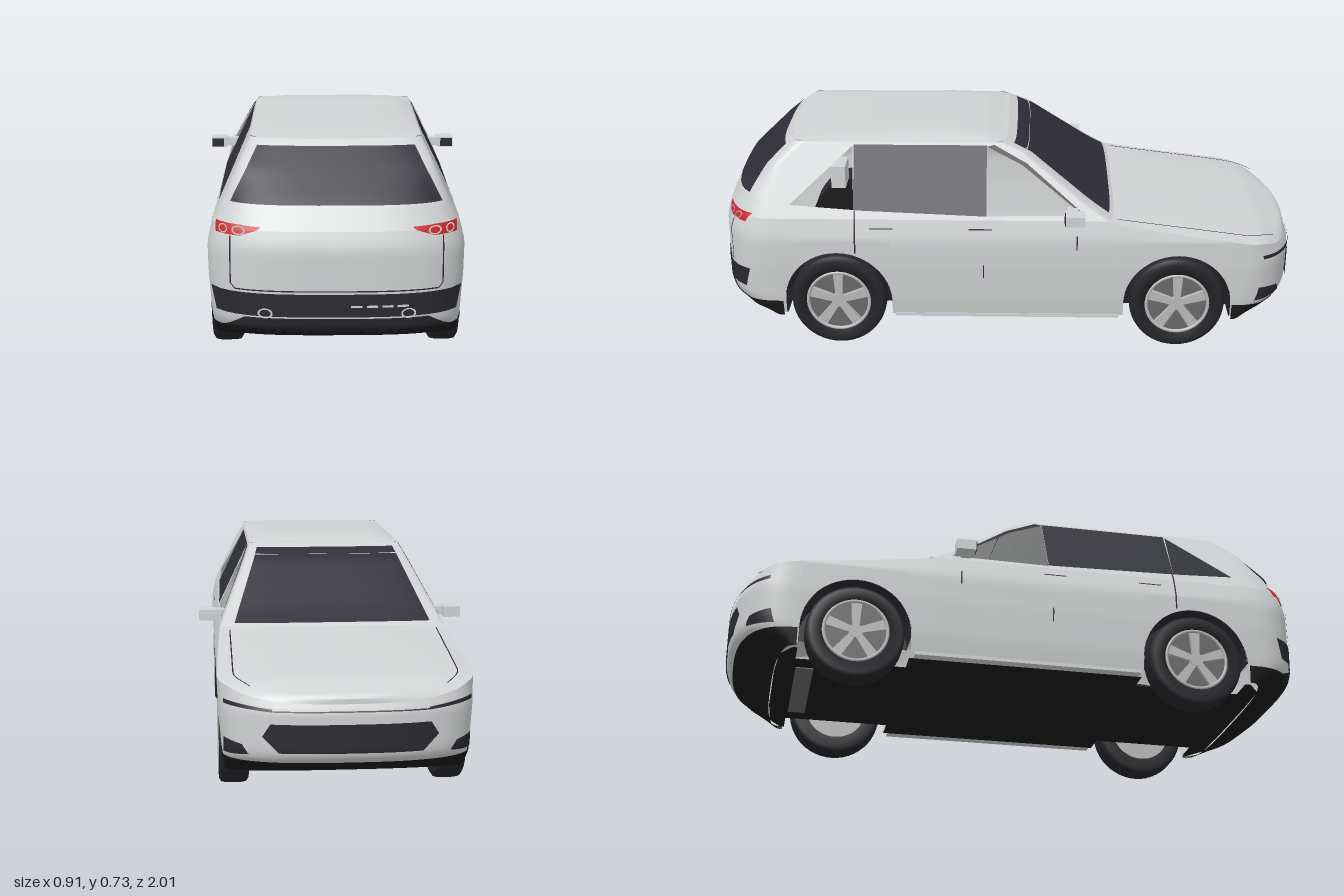
import * as THREE from 'three';

const mat = (name, color) => new THREE.MeshStandardMaterial({ name, color, side: THREE.DoubleSide });
const PI = Math.PI, BELT = 0.47, TOP = 0.71, CORE = 0.78;

// Piecewise linear lookup in a short table of [key, value]
function look(table, v) {
  if (v <= table[0][0]) return table[0][1];
  for (let i = 1; i < table.length; i++) {
    const [a, p] = table[i - 1], [b, q] = table[i];
    if (v <= b) return p + (q - p) * (v - a) / (b - a);
  }
  return table[table.length - 1][1];
}
const halfWidth = y => look([[0.1, 0.378], [0.17, 0.39], [0.3, 0.4], [0.4, 0.402], [BELT, 0.385], [TOP, 0.27]], y);
const tailZ = y => look([[0.1, 0.84], [0.13, 0.94], [0.17, 0.992], [0.2, 1], [0.42, 1], [BELT, 0.982], [0.545, 0.94], [0.64, 0.834], [TOP, 0.755]], y);
const noseZ = y => look([[0.1, -0.84], [0.14, -0.94], [0.17, -0.99], [0.2, -1], [0.32, -1], [0.375, -0.975], [0.47, -0.95]], y);
const screenZ = y => look([[BELT, -0.37], [0.52, -0.29], [0.68, -0.075], [TOP, 0]], y);
const hoodY = z => look([[-1, 0.35], [-0.975, 0.375], [-0.877, 0.406], [-0.61, 0.444], [-0.36, 0.468]], z);
const edgeY = z => look([[-1, 0.345], [-0.9, 0.385], [-0.78, 0.402], [-0.6, 0.425], [-0.37, 0.46], [-0.33, BELT]], z);
const roofY = z => look([[0, 0.712], [0.06, 0.725], [0.2, 0.735], [0.5, 0.727], [0.7, 0.716], [0.76, 0.711]], z);
const WHEELS = [-0.59, 0.585], ARCH = 0.185;
const sillY = z => {
  for (const w of WHEELS) if (Math.abs(z - w) <= ARCH + 1e-6)
    return 0.165 + Math.sqrt(Math.max(0, ARCH * ARCH - (z - w) ** 2));
  return 0.11;
};

// Rounded ends of the car: end, core where rounding starts, and squareness
const tail = { end: tailZ, core: y => Math.min(CORE, tailZ(y) - 0.06), n: 3 };
const nose = { end: noseZ, core: () => -CORE, n: 2.7 };
const screen = { end: screenZ, core: y => screenZ(y) + 0.04, n: 4 };
function corner(e, a, y, off = 0) {
  const c = e.core(y), d = e.end(y) - c + Math.sign(e.end(y) - c) * off;
  return [(halfWidth(y) + off) * Math.max(0, Math.sin(a)) ** (2 / e.n), y, c + d * Math.max(0, Math.cos(a)) ** (2 / e.n)];
}
function endZ(e, x, y, off) {
  const c = e.core(y), d = e.end(y) - c + Math.sign(e.end(y) - c) * off;
  return c + d * Math.max(0, 1 - (Math.abs(x) / (halfWidth(y) + off)) ** e.n) ** (1 / e.n);
}

function grid(nu, nv, fn) {
  const pos = [], idx = [];
  for (let i = 0; i <= nu; i++) for (let j = 0; j <= nv; j++) pos.push(...fn(i / nu, j / nv, i));
  for (let i = 0; i < nu; i++) for (let j = 0; j < nv; j++) {
    const a = i * (nv + 1) + j, b = a + nv + 1;
    idx.push(a, b, a + 1, b, b + 1, a + 1);
  }
  const g = new THREE.BufferGeometry();
  g.setAttribute('position', new THREE.Float32BufferAttribute(pos, 3));
  g.setIndex(idx);
  g.computeVertexNormals();
  return g;
}
const bilerp = (c, u, v) => [0, 1].map(k =>
  (c[0][k] * (1 - u) + c[1][k] * u) * (1 - v) + (c[3][k] * (1 - u) + c[2][k] * u) * v);
const polygon = pts => new THREE.Shape(pts.map(p => new THREE.Vector2(...p)));

export function createModel() {
  const car = new THREE.Group();
  car.name = 'car';
  const paint = mat('silver paint', 0xd0d2d3), glass = mat('dark glass', 0x2f2e38), trim = mat('dark trim', 0x292930);
  const black = mat('underbody black', 0x1b1b1c), rubber = mat('tyre rubber', 0x26262b), alloy = mat('alloy', 0xb9bab8);
  const recess = mat('wheel recess', 0x68696b), red = mat('lamp red', 0xc9282d);
  const add = (name, geo, m, parent = car) => {
    const mesh = new THREE.Mesh(geo, m);
    mesh.name = name;
    parent.add(mesh);
    return mesh;
  };
  const box = (name, m, w, h, d, x, y, z) => add(name, new THREE.BoxGeometry(w, h, d), m).position.set(x, y, z);
  // Thin plates hugging an end (corners in x, y) or a flank (corners in z, y)
  const endPlate = (name, m, e, c, off = 0.004) => add(name, grid(24, 8, (u, v) => {
    const [x, y] = bilerp(c, u, v);
    return [x, y, endZ(e, x, y, off)];
  }), m);
  const sidePlate = (name, m, s, c, off = 0.003) => add(name, grid(6, 6, (u, v) => {
    const [z, y] = bilerp(c, u, v);
    return [s * (halfWidth(y) + off), y, z];
  }), m);
  const rect = (x0, x1, y0, y1) => [[x0, y0], [x1, y0], [x1, y1], [x0, y1]];

  // Columns round half of the lower body: nose corner, flank with arches, tail corner
  const cols = [];
  for (let i = 0; i <= 18; i++) cols.push({ e: nose, a: i / 18 * PI / 2 });
  for (const w of WHEELS) {
    cols.push({ z: w - ARCH - 0.001 });
    for (let i = 0; i <= 24; i++) cols.push({ z: w - ARCH * Math.cos(i / 24 * PI) });
    cols.push({ z: w + ARCH + 0.001 });
    if (w < 0) for (const z of [-0.37, -0.33, -0.1, 0.15]) cols.push({ z });
  }
  for (let i = 18; i >= 0; i--) cols.push({ e: tail, a: i / 18 * PI / 2 });
  const nominal = c => c.e ? corner(c.e, c.a, 0.3)[2] : c.z;
  const at = (c, y) => c.e ? corner(c.e, c.a, y) : [halfWidth(y), y, c.z];

  for (const s of [1, -1]) {
    const flip = p => [s * p[0], p[1], p[2]];
    add('lowerBody', grid(cols.length - 1, 18, (u, v, i) => {
      const z = nominal(cols[i]), b = sillY(z);
      return flip(at(cols[i], b + (edgeY(z) - b) * v));
    }), paint);
    // Tail and windscreen surrounds
    for (const [name, e] of [['tailgateFrame', tail], ['windscreenFrame', screen]])
      add(name, grid(16, 16, (u, v) => flip(corner(e, u * PI / 2, BELT + (TOP - BELT) * v))), paint);
    // Flank with open front window, plus open quarter window on the left
    const levels = Array.from({ length: 17 }, (_, i) => BELT + (TOP - BELT) * i / 16);
    const flank = polygon([...levels.map(y => [screen.core(y), y]), ...levels.slice().reverse().map(y => [tail.core(y), y])]);
    flank.holes.push(polygon([[-0.262, 0.487], [0.07, 0.483], [0.07, 0.698], [0.045, 0.698], [-0.06, 0.642]]));
    const quarter = [[0.525, 0.499], [0.745, 0.513], [0.53, 0.697]];
    if (s > 0) flank.holes.push(polygon(quarter));
    const toSide = (g, off) => {
      const p = g.attributes.position;
      for (let i = 0; i < p.count; i++) p.setXYZ(i, s * (halfWidth(p.getY(i)) + off), p.getY(i), p.getX(i));
      g.computeVertexNormals();
      return g;
    };
    add('cabinSide', toSide(new THREE.ShapeGeometry(flank), 0), paint);
    add('rearDoorWindow', toSide(new THREE.ShapeGeometry(polygon([[0.07, 0.483], [0.525, 0.499], [0.525, 0.702], [0.07, 0.702]])), 0.003), glass);
    if (s < 0) add('quarterWindow', toSide(new THREE.ShapeGeometry(polygon(quarter)), 0.003), glass);
    sidePlate('windowTrim', trim, s, [[-0.27, 0.487], [-0.262, 0.487], [-0.052, 0.642], [-0.066, 0.648]]);
    sidePlate('windowTrim', trim, s, [[-0.066, 0.648], [-0.052, 0.642], [0.07, 0.698], [0.045, 0.704]]);
    // Door seams and handles
    sidePlate('doorSeam', trim, s, rect(0.518, 0.523, 0.35, 0.497));
    sidePlate('doorSeam', trim, s, rect(0.078, 0.082, 0.26, 0.31));
    for (const z of [0.43, 0.09]) sidePlate('doorHandle', trim, s, rect(z - 0.04, z + 0.04, 0.438, 0.442));
    sidePlate('doorSeam', trim, s, rect(-0.242, -0.238, 0.37, 0.42));
    // Mirrors
    box('mirrorArm', paint, 0.06, 0.03, 0.035, s * 0.385, 0.497, -0.225);
    box('mirrorHousing', paint, 0.058, 0.036, 0.065, s * 0.426, 0.496, -0.232);
    box('mirrorGlass', trim, 0.044, 0.03, 0.004, s * 0.431, 0.496, -0.198);
    // Sill and dark lower lips
    box('sill', paint, 0.035, 0.012, 0.78, s * 0.366, 0.108, 0);
    for (const [name, e] of [['frontLip', nose], ['rearLip', tail]])
      add(name, grid(18, 6, (u, v) => flip(corner(e, u * PI / 2, 0.1 + 0.06 * v, 0.004))), black);
    // Tail lamps with pale rings
    endPlate('tailLamp', red, tail, rect(s * 0.29, s * 0.37, 0.453, 0.484));
    endPlate('tailLampInner', red, tail, [[s * 0.24, 0.472], [s * 0.29, 0.455], [s * 0.29, 0.483], [s * 0.23, 0.481]]);
    const ring = (name, x, y, rx, ry, t) => {
      const g = new THREE.RingGeometry(1 - t, 1, 24).scale(rx, ry, 1).translate(s * x, y, 0), p = g.attributes.position;
      for (let i = 0; i < p.count; i++) p.setZ(i, endZ(tail, p.getX(i), p.getY(i), 0.009));
      add(name, g, paint);
    };
    ring('tailLampRing', 0.298, 0.469, 0.021, 0.013, 0.28);
    ring('tailLampRing', 0.346, 0.469, 0.014, 0.013, 0.28);
    ring('exhaustRing', 0.218, 0.219, 0.023, 0.016, 0.25);
    // Tailgate seam, headlamps, corner vents, bonnet seam
    endPlate('tailgateSeam', trim, tail, rect(s * 0.322, s * 0.326, 0.305, 0.45));
    endPlate('tailgateSeam', trim, tail, [[s * 0.308, 0.288], [s * 0.312, 0.288], [s * 0.326, 0.305], [s * 0.322, 0.305]]);
    endPlate('headlamp', trim, nose, [[s * 0.24, 0.322], [s * 0.385, 0.333], [s * 0.385, 0.346], [s * 0.24, 0.33]]);
    endPlate('cornerVent', trim, nose, [[s * 0.31, 0.185], [s * 0.385, 0.175], [s * 0.385, 0.225], [s * 0.33, 0.215]]);
    add('bonnetSeam', grid(30, 1, (u, v) => {
      const z = -0.92 + 0.54 * u, x = 0.35 - 0.05 * Math.max(0, (-0.8 - z) / 0.12) ** 2;
      const k = x / halfWidth(edgeY(z));
      return [s * (x + 0.004 * v), edgeY(z) + (hoodY(z) - edgeY(z)) * (1 - k ** 4) + 0.003, z];
    }), trim);

    // Wheels and arch liners
    for (const wz of WHEELS) {
      const wheel = new THREE.Group();
      wheel.name = wz < 0 ? 'frontWheel' : 'rearWheel';
      wheel.position.set(s * 0.35, 0.165, wz);
      wheel.rotation.y = s > 0 ? 0 : PI;
      car.add(wheel);
      const tyre = [[0.11, -0.046], [0.15, -0.048], [0.162, -0.04], [0.165, -0.025], [0.165, 0.025], [0.162, 0.04], [0.15, 0.048], [0.11, 0.046], [0.11, -0.046]];
      add('tyre', new THREE.LatheGeometry(tyre.map(p => new THREE.Vector2(...p)), 48).rotateZ(-PI / 2), rubber, wheel);
      add('rimRecess', new THREE.CylinderGeometry(0.11, 0.11, 0.01, 40).rotateZ(PI / 2).translate(0.024, 0, 0), recess, wheel);
      add('rimBack', new THREE.CylinderGeometry(0.11, 0.11, 0.01, 40).rotateZ(PI / 2).translate(-0.035, 0, 0), alloy, wheel);
      add('rimRing', new THREE.TorusGeometry(0.107, 0.006, 8, 48).rotateY(PI / 2).translate(0.044, 0, 0), alloy, wheel);
      add('hub', new THREE.CylinderGeometry(0.024, 0.024, 0.016, 24).rotateZ(PI / 2).translate(0.037, 0, 0), alloy, wheel);
      for (let i = 0; i < 5; i++) {
        const spoke = polygon([[-0.011, 0.01], [0.011, 0.01], [0.018, 0.106], [-0.018, 0.106]]);
        const g = new THREE.ExtrudeGeometry(spoke, { depth: 0.014, bevelEnabled: false });
        add('spoke', g.rotateY(PI / 2).translate(0.029, 0, 0).rotateX(i * PI * 2 / 5), alloy, wheel);
      }
      add('archLiner', grid(24, 1, (u, v) => [s * (0.27 + 0.126 * v), 0.165 + 0.186 * Math.sin(u * PI), wz + 0.186 * Math.cos(u * PI)]), trim);
      add('archWall', new THREE.CircleGeometry(0.187, 32, 0, PI).rotateY(PI / 2).translate(s * 0.27, 0.165, wz), black);
    }
  }

  // Bonnet, crowned between the body edges
  const front = cols.slice(0, cols.findIndex(c => c.z === -0.33) + 1);
  add('bonnet', grid(front.length - 1, 24, (u, v, i) => {
    const [x, y, z] = at(front[i], edgeY(nominal(front[i]))), k = 2 * v - 1;
    return [x * k, y + Math.max(0, hoodY(z) - y) * (1 - k ** 4), z];
  }), paint);
  // Roof, with rounded ends meeting the cabin
  add('roof', grid(32, 24, (u, v) => {
    const k = 2 * v - 1, x = halfWidth(TOP) * k;
    const z0 = endZ(screen, x, TOP, 0), z1 = endZ(tail, x, TOP, 0), z = z0 + (z1 - z0) * u;
    return [x, TOP + (roofY(z) - TOP) * (1 - k ** 6) * Math.min(1, 12 * u, 12 * (1 - u)), z];
  }), paint);

  // Main glass
  endPlate('windscreen', glass, screen, [[-0.335, 0.482], [0.335, 0.482], [0.245, 0.7], [-0.245, 0.7]], 0.006);
  endPlate('rearWindow', glass, tail, [[-0.325, 0.543], [0.325, 0.543], [0.245, 0.692], [-0.245, 0.692]], 0.006);

  // Rear bumper and tailgate
  endPlate('rearBumper', trim, tail, [[-0.37, 0.208], [0.37, 0.208], [0.386, 0.28], [-0.386, 0.28]]);
  endPlate('rearValance', trim, tail, [[-0.375, 0.145], [0.375, 0.145], [0.28, 0.203], [-0.28, 0.203]]);
  endPlate('tailgateSeam', trim, tail, rect(-0.31, 0.31, 0.287, 0.291));
  for (let i = 0; i < 4; i++) endPlate('bumperDash', paint, tail, rect(0.043 + i * 0.047, 0.077 + i * 0.047, 0.239, 0.246), 0.008);

  // Front grille and intake
  endPlate('grille', trim, nose, [[-0.22, 0.195], [0.22, 0.195], [0.27, 0.245], [-0.27, 0.245]]);
  endPlate('grille', trim, nose, [[-0.27, 0.245], [0.27, 0.245], [0.245, 0.285], [-0.245, 0.285]]);
  endPlate('noseSeam', trim, nose, rect(-0.24, 0.24, 0.322, 0.326));

  // Underbody notched round the wheels, and the cabin floor
  const outline = [[0.15, 0.84], [0.3, 0.835], [0.36, 0.79], [0.36, 0.77], [0.27, 0.77], [0.27, 0.4], [0.35, 0.4],
    [0.35, -0.405], [0.27, -0.405], [0.27, -0.775], [0.36, -0.775], [0.36, -0.79], [0.3, -0.83], [0.15, -0.84]];
  const floor = polygon([...outline, ...outline.slice().reverse().map(([x, z]) => [-x, z])]);
  add('underbody', new THREE.ShapeGeometry(floor).rotateX(PI / 2).translate(0, 0.102, 0), black);
  box('underbodyPanel', recess, 0.4, 0.004, 0.06, 0, 0.1, -0.74);
  box('cabinFloor', paint, 0.72, 0.01, 0.76, 0, 0.13, 0);
  box('headrest', paint, 0.1, 0.08, 0.05, 0.12, 0.535, 0.6);
  return car;
}
